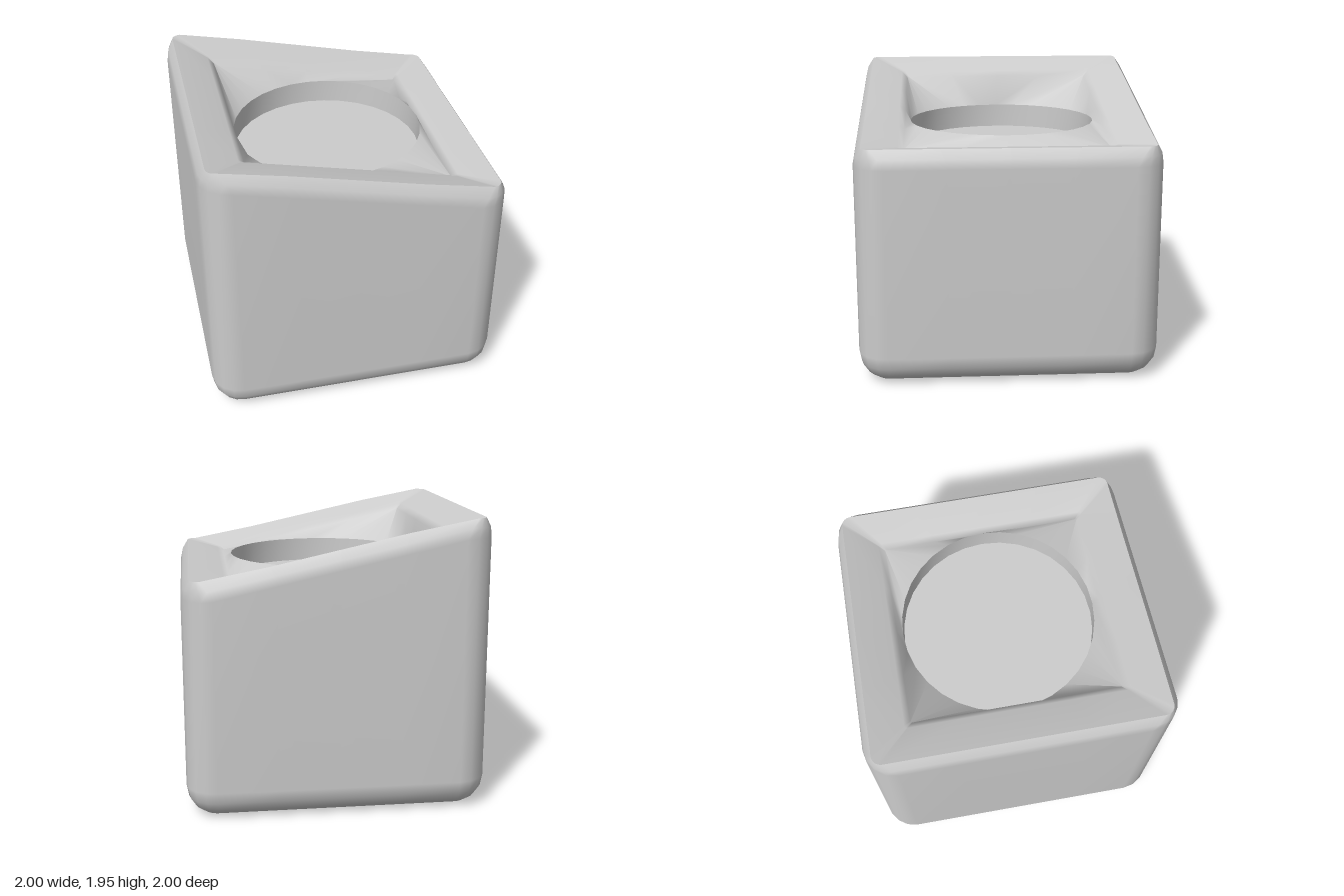
import * as THREE from 'three';

const N = 32; // points around every ring
const slantY = x => 1.7625 - 0.22 * THREE.MathUtils.clamp(x, -0.83, 0.83);

// Rounded square ring: 5 points per corner arc, 3 along each side
function squareRing(h, r, yOf) {
  const corner = (q, k) => {
    const a = (q + k / 4) * Math.PI / 2, m = (q + 0.5) * Math.PI / 2, d = (h - r) * Math.SQRT2;
    return new THREE.Vector2(d * Math.cos(m) + r * Math.cos(a), d * Math.sin(m) + r * Math.sin(a));
  };
  const pts = [];
  for (let q = 0; q < 4; q++) {
    for (let k = 0; k <= 4; k++) pts.push(corner(q, k));
    for (let k = 1; k <= 3; k++) pts.push(corner(q, 4).lerp(corner(q + 1, 0), k / 4));
  }
  return pts.map(p => new THREE.Vector3(p.x, yOf(p.x), -p.y));
}

// Circular ring whose points line up with the square rings
function circleRing(r, y) {
  return Array.from({ length: N }, (_, i) => {
    const a = (i + 2) * Math.PI * 2 / N;
    return new THREE.Vector3(r * Math.cos(a), y, -r * Math.sin(a));
  });
}

// Skin between successive rings
function loft(rings) {
  const index = [];
  for (let j = 0; j < rings.length - 1; j++) {
    for (let i = 0; i < N; i++) {
      const a = j * N + i, b = j * N + (i + 1) % N;
      index.push(a, b, b + N, a, b + N, a + N);
    }
  }
  const g = new THREE.BufferGeometry().setFromPoints(rings.flat());
  g.setIndex(index);
  g.computeVertexNormals();
  return g;
}

export function createModel() {
  const group = new THREE.Group();
  const grey = new THREE.MeshStandardMaterial({ name: 'light grey', color: 0xcccccc });
  const add = (name, geometry) => {
    const mesh = new THREE.Mesh(geometry, grey);
    mesh.name = name;
    group.add(mesh);
  };

  // Outer body: flat base, rounded lower edge, straight walls, bevel up to the slanted rim
  const outer = [circleRing(0.001, 0)];
  for (let k = 0; k <= 4; k++) {
    const a = k / 4 * Math.PI / 2;
    outer.push(squareRing(0.8 + 0.2 * Math.sin(a), Math.max(0.02, 0.2 * Math.sin(a)), () => 0.2 * (1 - Math.cos(a))));
  }
  [[1, 0.2, 0.125], [0.985, 0.15, 0.06], [0.945, 0.06, 0]].forEach(([h, r, drop]) =>
    outer.push(squareRing(h, r, x => slantY(x) - drop)));
  add('outerBody', loft(outer));

  // Sloped recess blending from the square rim to the level round opening
  add('recess', loft([
    squareRing(0.945, 0.06, slantY),
    squareRing(0.72, 0.02, x => slantY(x) - 0.06),
    squareRing(0.68, 0.01, x => slantY(x) - 0.09),
    circleRing(0.645, 1.605),
  ]));

  // Round well
  add('wellWall', loft([circleRing(0.645, 1.605), circleRing(0.645, 1.44)]));
  const floor = new THREE.CircleGeometry(0.645, N);
  floor.rotateX(-Math.PI / 2).translate(0, 1.44, 0);
  add('wellFloor', floor);

  return group;
}
